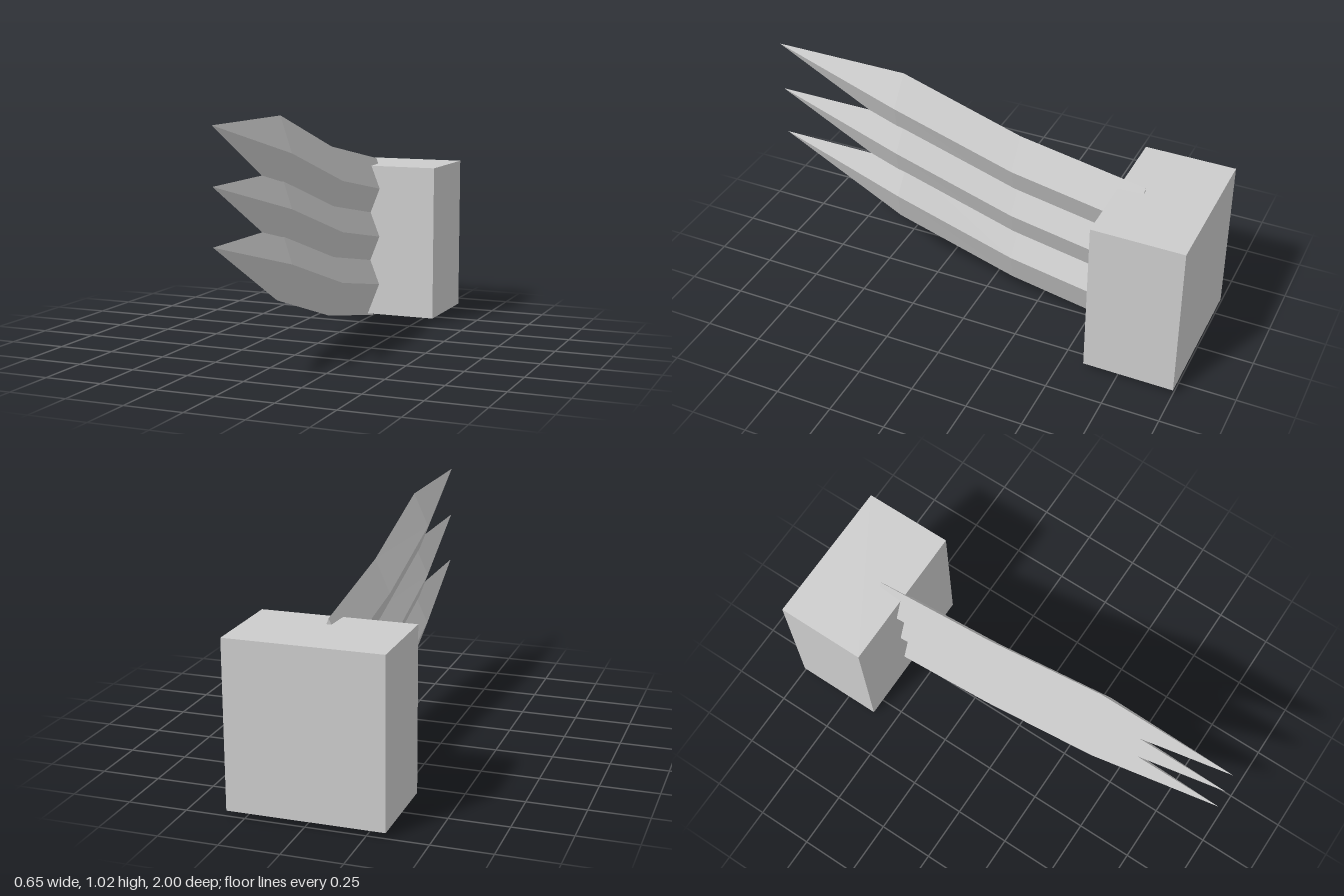
import * as THREE from 'three';

// Diamond sections of the lowest blade, back to front: [z, y] of top edge, side edges and bottom edge
const SECTIONS = [
  { top: [-0.715, 0.304], side: [-0.695, 0.155], bottom: [-0.675, 0.005] },
  { top: [-0.155, 0.404], side: [-0.14, 0.255], bottom: [-0.125, 0.105] },
  { top: [0.39, 0.574], side: [0.41, 0.423], bottom: [0.43, 0.273] },
];
const TIP = [0, 0.574, 1];
const HALF_WIDTH = 0.06;

function bladeGeometry() {
  const positions = [];
  const index = [];
  for (const { top, side, bottom } of SECTIONS) {
    positions.push(0, top[1], top[0], HALF_WIDTH, side[1], side[0]);
    positions.push(0, bottom[1], bottom[0], -HALF_WIDTH, side[1], side[0]);
  }
  positions.push(...TIP);

  // Faces between neighbouring sections, then the point and the back cap
  const last = SECTIONS.length - 1;
  const tip = SECTIONS.length * 4;
  for (let s = 0; s <= last; s++) {
    for (let j = 0; j < 4; j++) {
      const a = s * 4 + j;
      const b = s * 4 + (j + 1) % 4;
      if (s < last) index.push(a, a + 4, b, b, a + 4, b + 4);
      else index.push(a, tip, b);
    }
  }
  index.push(0, 1, 2, 0, 2, 3);

  const indexed = new THREE.BufferGeometry();
  indexed.setAttribute('position', new THREE.Float32BufferAttribute(positions, 3));
  indexed.setIndex(index);
  const geometry = indexed.toNonIndexed();
  geometry.computeVertexNormals();
  return geometry;
}

export function createModel() {
  const model = new THREE.Group();
  model.name = 'clawWeapon';
  const grey = new THREE.MeshStandardMaterial({ color: 0xcccccc });
  grey.name = 'light grey';

  // Block that holds the blades
  const block = new THREE.Mesh(new THREE.BoxGeometry(0.655, 0.707, 0.4), grey);
  block.name = 'handBlock';
  block.position.set(0, 0.381, -0.8);
  model.add(block);

  // Three stacked, slightly overlapping blades
  const geometry = bladeGeometry();
  ['lowerBlade', 'middleBlade', 'upperBlade'].forEach((name, i) => {
    const blade = new THREE.Mesh(geometry, grey);
    blade.name = name;
    blade.position.y = i * 0.228;
    model.add(blade);
  });

  return model;
}
